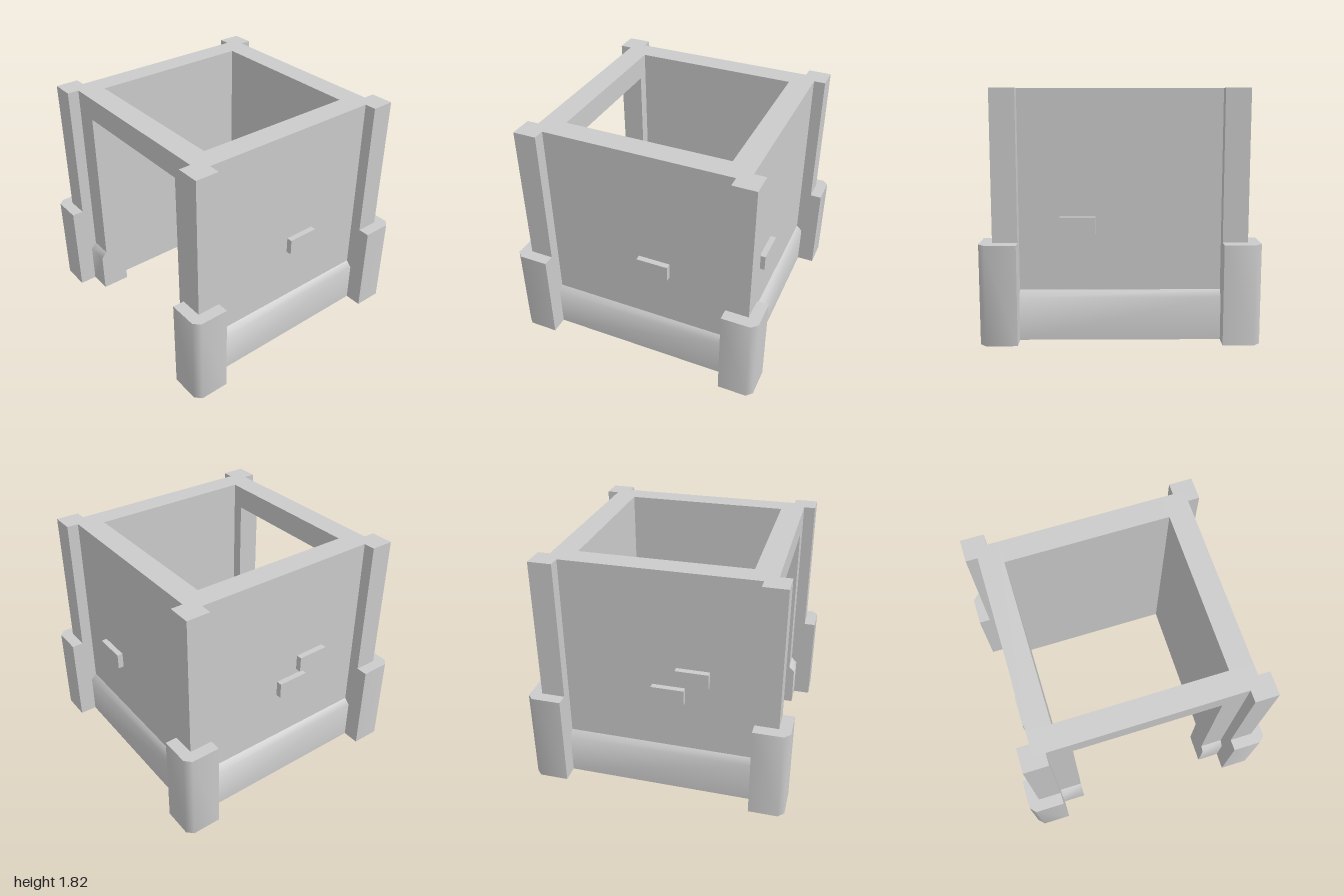
import * as THREE from 'three';
import { toCreasedNormals } from 'three/addons/utils/BufferGeometryUtils.js';

const H = 1.82, OUT = 0.82, IN = 0.64, POST = 0.73, TRIM = 0.045;
const material = new THREE.MeshStandardMaterial({ color: 0xcccccc });

function add(parent, name, geometry) {
  const mesh = new THREE.Mesh(geometry, material);
  mesh.name = name;
  parent.add(mesh);
  return mesh;
}

// Box given by its minimum and maximum corners
function box(parent, name, min, max) {
  const size = max.map((v, i) => v - min[i]);
  const mesh = add(parent, name, new THREE.BoxGeometry(...size));
  mesh.position.set(...max.map((v, i) => (v + min[i]) / 2));
  return mesh;
}

// Extruded outline, smooth across the 45 degree bevels only
function extrude(points, depth) {
  const shape = new THREE.Shape(points.map(([x, y]) => new THREE.Vector2(x, y)));
  const geometry = new THREE.ExtrudeGeometry(shape, { depth, bevelEnabled: false });
  return toCreasedNormals(geometry, THREE.MathUtils.degToRad(50));
}

// L-shaped plan that wraps a wall corner, with an optional outer chamfer
function cornerGeometry(outer, chamfer, height) {
  const tip = chamfer
    ? [[outer, outer - chamfer], [outer - chamfer, outer]]
    : [[outer, outer]];
  const plan = [[OUT, POST], [outer, POST], ...tip, [POST, outer], [POST, OUT], [OUT, OUT]];
  return extrude(plan, height).rotateX(-Math.PI / 2);
}

// Skirting along a wall; angle 0 is the +x side
function trim(parent, name, from, to, angle) {
  const profile = [
    [OUT, 0], [OUT + TRIM, 0], [OUT + TRIM, 0.365 - TRIM], [OUT, 0.365],
  ];
  const geometry = extrude(profile, to - from).translate(0, 0, from);
  add(parent, name, geometry).rotation.y = angle;
}

export function createModel() {
  const model = new THREE.Group();
  model.name = 'tower';

  // Walls, open at top and bottom
  const walls = new THREE.Group();
  walls.name = 'walls';
  model.add(walls);
  const front = [
    [-OUT, 0], [-0.55, 0], [-0.55, 1.64], [0.55, 1.64],
    [0.55, 0], [OUT, 0], [OUT, H], [-OUT, H],
  ];
  add(walls, 'frontWallWithDoorway', extrude(front, OUT - IN)).position.z = IN;
  box(walls, 'leftWall', [IN, 0, -OUT], [OUT, H, IN]);
  box(walls, 'rightWall', [-OUT, 0, -OUT], [-IN, H, IN]);
  box(walls, 'backWall', [-IN, 0, -OUT], [IN, H, -IN]);

  // Corner posts on wider chamfered footings
  const footing = cornerGeometry(1, TRIM, 0.73);
  const post = cornerGeometry(0.91, 0, H - 0.73);
  for (let i = 0; i < 4; i++) {
    const corner = new THREE.Group();
    corner.name = 'corner';
    corner.rotation.y = i * Math.PI / 2;
    add(corner, 'footing', footing);
    add(corner, 'post', post).position.y = 0.73;
    model.add(corner);
  }

  // Skirting, interrupted by the doorway at the front
  trim(model, 'leftTrim', -POST, POST, 0);
  trim(model, 'backTrim', -POST, POST, Math.PI / 2);
  trim(model, 'rightTrim', -POST, POST, Math.PI);
  trim(model, 'frontTrim', -POST, -0.55, -Math.PI / 2);
  trim(model, 'frontTrim', 0.55, POST, -Math.PI / 2);

  // Single raised bricks on the walls
  const face = OUT + TRIM;
  box(model, 'leftBrick', [OUT, 0.8, -0.25], [face, 0.925, 0]);
  box(model, 'backBrick', [0.175, 0.78, -face], [0.435, 0.905, -OUT]);
  box(model, 'rightLowerBrick', [-face, 0.775, -0.055], [-OUT, 0.9, 0.195]);
  box(model, 'rightUpperBrick', [-face, 0.94, 0.13], [-OUT, 1.065, 0.38]);

  return model;
}
